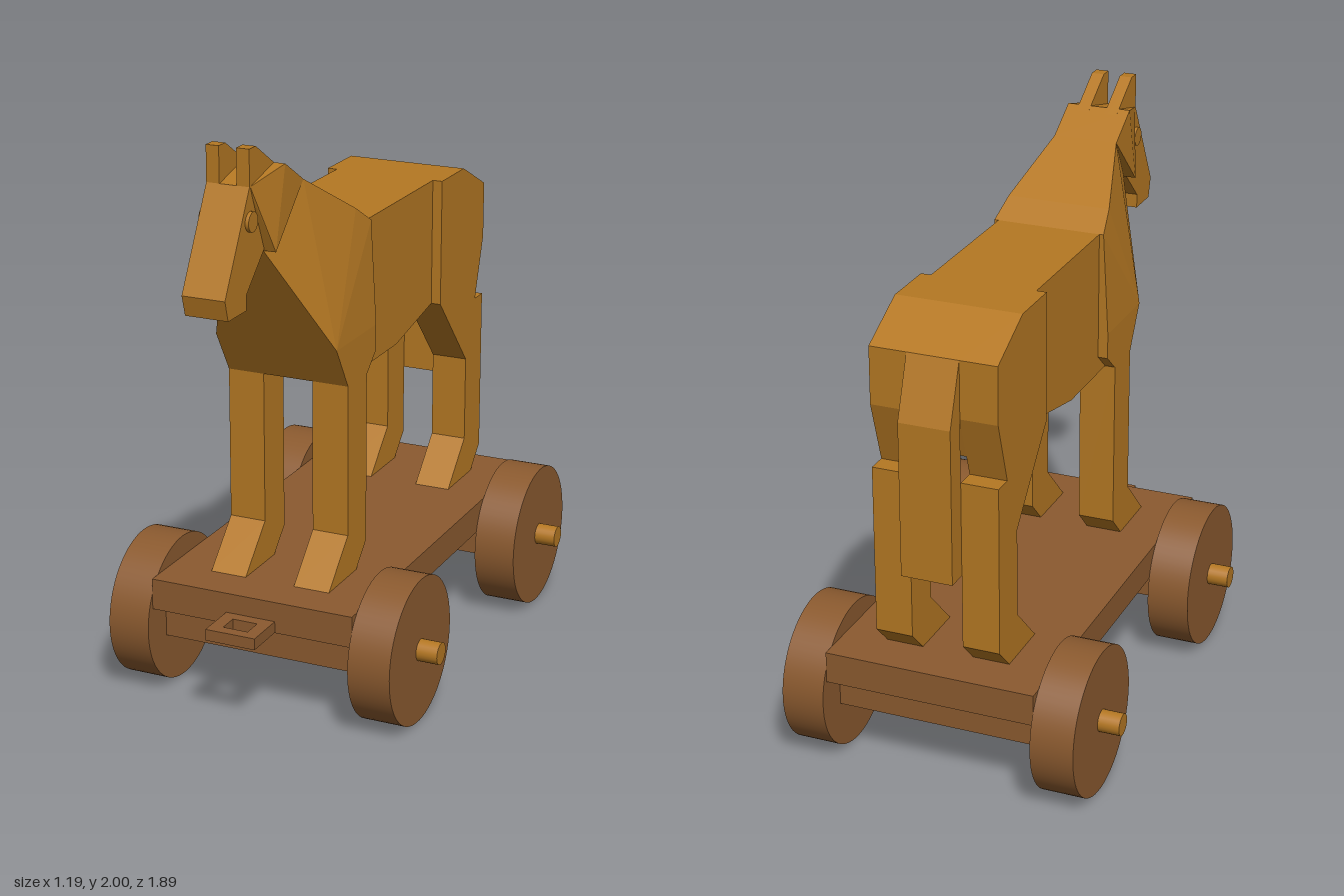
import * as THREE from 'three';
import { ConvexGeometry } from 'three/addons/geometries/ConvexGeometry.js';

const gold = new THREE.MeshStandardMaterial({ color: 0xb57823 });
gold.name = 'golden wood';
const brown = new THREE.MeshStandardMaterial({ color: 0x8b5a2f });
brown.name = 'brown wood';

export function createModel() {
  const model = new THREE.Group();
  model.name = 'horseOnWheels';

  const add = (name, geometry, material, x = 0, y = 0, z = 0) => {
    const mesh = new THREE.Mesh(geometry, material);
    mesh.name = name;
    mesh.position.set(x, y, z);
    model.add(mesh);
    return mesh;
  };
  // Board cut from a [z, y] outline, spanning x0 to x1
  const board = (name, outline, x0, x1) => {
    const shape = new THREE.Shape(outline.map(([z, y]) => new THREE.Vector2(z, y)));
    const geometry = new THREE.ExtrudeGeometry(shape, { depth: x1 - x0, bevelEnabled: false });
    geometry.rotateY(-Math.PI / 2).translate(x1, 0, 0);
    return add(name, geometry, gold);
  };
  // Symmetric faceted block from [x, y, z] corners of the left half
  const block = (name, corners) => {
    const points = corners.flatMap(([x, y, z]) => [new THREE.Vector3(x, y, z), new THREE.Vector3(-x, y, z)]);
    return add(name, new ConvexGeometry(points), gold);
  };
  const box = (name, w, h, d, y, z) => add(name, new THREE.BoxGeometry(w, h, d), brown, 0, y, z);

  // Cart
  box('platform', 0.74, 0.11, 1.56, 0.385, -0.13);
  const wheel = new THREE.CylinderGeometry(0.257, 0.257, 0.15, 64).rotateZ(Math.PI / 2);
  const axle = new THREE.CylinderGeometry(0.038, 0.038, 1.19, 24).rotateZ(Math.PI / 2);
  for (const [end, z] of [['front', 0.428], ['rear', -0.685]]) {
    box(end + 'AxleBeam', 0.74, 0.135, 0.26, 0.2625, z);
    add(end + 'Axle', axle, gold, 0, 0.26, z);
    add(end + 'LeftWheel', wheel, brown, 0.445, 0.257, z);
    add(end + 'RightWheel', wheel, brown, -0.445, 0.257, z);
  }

  // Pull ring at the front, with a square hole
  const rect = (path, x, y0, y1) => path.moveTo(-x, y0).lineTo(x, y0).lineTo(x, y1).lineTo(-x, y1).closePath();
  const hitch = rect(new THREE.Shape(), 0.09, -0.8, -0.64);
  hitch.holes.push(rect(new THREE.Path(), 0.045, -0.76, -0.69));
  const hitchGeometry = new THREE.ExtrudeGeometry(hitch, { depth: 0.04, bevelEnabled: false });
  add('hitch', hitchGeometry.rotateX(-Math.PI / 2), brown, 0, 0.331, 0);

  // Trunk and rump
  board('body', [[0.2, 1.12], [0.2, 1.63], [-0.43, 1.63], [-0.43, 1.18], [-0.12, 1.12]].map(
    ([z, y]) => [y > 1.6 && z > 0 ? 0.13 : z, y]), -0.185, 0.185);
  board('rump', [[-0.43, 1.18], [-0.43, 1.63], [-0.63, 1.63], [-0.83, 1.53], [-0.83, 1.33], [-0.78, 1.18]], -0.09, 0.09);
  board('tail', [[-0.83, 1.53], [-0.905, 1.32], [-0.905, 0.78], [-0.83, 0.78]], -0.09, 0.09);

  // Legs, with the haunches as part of the hind legs
  const foreLeg = [[0.205, 1.13], [0.205, 0.52], [0.285, 0.44], [0.505, 0.44], [0.355, 0.59], [0.355, 1.13]];
  const hindLeg = [[-0.43, 1.63], [-0.63, 1.63], [-0.83, 1.53], [-0.83, 1.33], [-0.76, 1.11], [-0.83, 1.11],
    [-0.83, 0.52], [-0.75, 0.44], [-0.53, 0.44], [-0.68, 0.59], [-0.68, 0.9], [-0.43, 1.18]];
  for (const [side, x0, x1] of [['Left', 0.09, 0.22], ['Right', -0.22, -0.09]]) {
    board('fore' + side + 'Leg', foreLeg, x0, x1);
    board('hind' + side + 'Leg', hindLeg, x0, x1);
  }

  // Chest and neck, tapering up to the head
  block('chestAndNeck', [
    [0.22, 1.12, 0.2], [0.22, 1.12, 0.355], [0.22, 1.18, 0.13], [0.22, 1.27, 0.444], [0.22, 1.27, 0.13],
    [0.2, 1.63, 0.13], [0.185, 1.69, 0.22], [0.115, 1.84, 0.47], [0.07, 1.65, 0.67],
  ]);

  // Head
  block('cheeks', [
    [0.115, 1.84, 0.47], [0.115, 1.92, 0.6], [0.115, 1.65, 0.67],
    [0.075, 1.88, 0.765], [0.075, 1.84, 0.75],
  ]);
  board('muzzle', [[0.77, 1.88], [0.945, 1.56], [0.925, 1.49], [0.8, 1.49], [0.8, 1.54], [0.48, 1.835], [0.54, 1.88]],
    -0.075, 0.075);
  const eye = new THREE.CylinderGeometry(0.033, 0.033, 0.02, 24).rotateZ(Math.PI / 2);
  for (const [side, s] of [['left', 1], ['right', -1]]) {
    board(side + 'Ear', [[0.77, 1.87], [0.77, 2], [0.725, 2], [0.53, 1.876]], s > 0 ? 0.03 : -0.075, s > 0 ? 0.075 : -0.03);
    add(side + 'Eye', eye, gold, s * 0.077, 1.77, 0.77);
  }
  return model;
}
